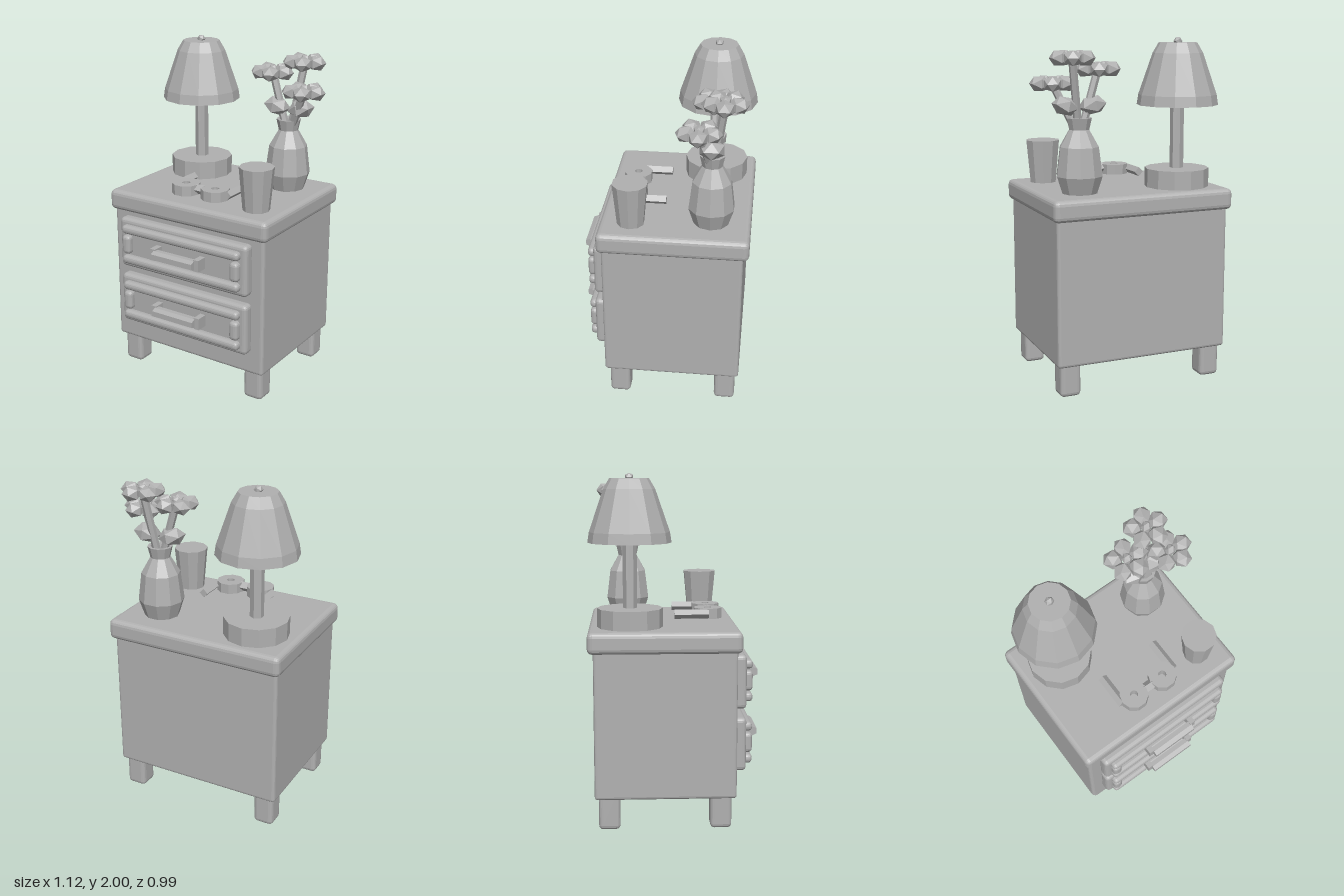
import * as THREE from 'three';
import { RoundedBoxGeometry } from 'three/addons/geometries/RoundedBoxGeometry.js';

const grey = new THREE.MeshStandardMaterial({ color: 0xb0b0b0, flatShading: true });
grey.name = 'plain grey';

function add(parent, name, geometry, x = 0, y = 0, z = 0) {
  const mesh = new THREE.Mesh(geometry, grey);
  mesh.name = name;
  mesh.position.set(x, y, z);
  parent.add(mesh);
  return mesh;
}

function group(parent, name, x = 0, y = 0, z = 0) {
  const g = new THREE.Group();
  g.name = name;
  g.position.set(x, y, z);
  parent.add(g);
  return g;
}

// Softened box given by its minimum and maximum on each axis
function block(parent, name, [x0, x1], [y0, y1], [z0, z1], r) {
  const geo = new RoundedBoxGeometry(x1 - x0, y1 - y0, z1 - z0, 2, r);
  return add(parent, name, geo, (x0 + x1) / 2, (y0 + y1) / 2, (z0 + z1) / 2);
}

// Faceted turned shape with a corner on the x axis
function turned(profile, sides) {
  const points = profile.map(([r, y]) => new THREE.Vector2(r, y));
  return new THREE.LatheGeometry(points, sides, Math.PI / 2);
}

// Straight rod between two points
function rod(parent, name, a, b, r, sides) {
  const dir = b.clone().sub(a);
  const mid = a.clone().add(b).multiplyScalar(0.5);
  const mesh = add(parent, name, new THREE.CylinderGeometry(r, r, dir.length(), sides), mid.x, mid.y, mid.z);
  mesh.quaternion.setFromUnitVectors(new THREE.Vector3(0, 1, 0), dir.normalize());
  return mesh;
}

function buildDrawer(parent, y) {
  const d = group(parent, 'drawer', -0.01, y, 0);
  block(d, 'drawerFront', [-0.447, 0.447], [-0.155, 0.155], [0.32, 0.397], 0.025);
  for (const s of [-1, 1]) {
    block(d, 'railMoulding', [-0.41, 0.41], [s * 0.095 - 0.026, s * 0.095 + 0.026], [0.375, 0.435], 0.022);
    block(d, 'sideMoulding', [s * 0.38 - 0.029, s * 0.38 + 0.029], [-0.058, 0.058], [0.375, 0.435], 0.022);
    add(d, 'handlePost', new THREE.BoxGeometry(0.035, 0.07, 0.08), s * 0.153, 0, 0.425);
  }
  // Handle bar: bevelled section swept along x
  const section = new THREE.Shape([
    [-0.44, -0.028], [-0.468, -0.028], [-0.495, -0.016],
    [-0.495, 0.016], [-0.468, 0.028], [-0.44, 0.028],
  ].map(([x, y]) => new THREE.Vector2(x, y)));
  const bar = new THREE.ExtrudeGeometry(section, { depth: 0.285, bevelEnabled: false });
  bar.translate(0, 0, -0.1425).rotateY(Math.PI / 2);
  add(d, 'handleBar', bar);
}

function buildLamp(parent) {
  const lamp = group(parent, 'lamp', -0.308, 0, -0.258);
  add(lamp, 'lampBase', turned([[0, 1.13], [0.188, 1.13], [0.188, 1.245], [0, 1.245]], 12));
  add(lamp, 'lampPole', new THREE.CylinderGeometry(0.04, 0.04, 0.72, 6), 0, 1.6, 0);
  add(lamp, 'lampShade', turned([
    [0, 1.94], [0.1, 1.94], [0.13, 1.9], [0.195, 1.675], [0.195, 1.613],
    [0.236, 1.613], [0.227, 1.672], [0.145, 1.91], [0.111, 1.968], [0, 1.968],
  ], 12));
  add(lamp, 'lampFinial', new THREE.IcosahedronGeometry(0.026, 0), 0, 1.975, 0);
}

function buildFlowers(parent) {
  const bouquet = group(parent, 'vaseWithFlowers', 0.307, 0, -0.27);
  add(bouquet, 'vase', turned([
    [0, 1.13], [0.1, 1.13], [0.134, 1.235], [0.113, 1.4], [0.058, 1.495],
    [0.073, 1.56], [0.055, 1.56], [0.045, 1.495], [0, 1.48],
  ], 10));

  // Squashed leaves beside the neck
  for (const s of [-1, 1]) {
    const leaf = add(bouquet, 'leaf', new THREE.IcosahedronGeometry(0.078, 0), s * 0.08, 1.628, 0);
    leaf.scale.set(1.05, 0.72, 1);
    leaf.rotation.z = s * 0.2;
  }

  // Five-petalled flowers on stems
  for (const [x, y, z] of [[-0.113, 1.828, 0], [0.063, 1.893, -0.064], [0.133, 1.75, 0.067]]) {
    const head = new THREE.Vector3(x, y, z);
    rod(bouquet, 'stem', new THREE.Vector3(x * 0.1, 1.48, z * 0.1), head, 0.023, 6);
    const flower = group(bouquet, 'flower', x, y, z);
    add(flower, 'flowerCentre', new THREE.IcosahedronGeometry(0.032, 0), 0, 0.012, 0);
    for (let i = 0; i < 5; i++) {
      const a = (i / 5) * Math.PI * 2;
      const petal = add(flower, 'petal', new THREE.IcosahedronGeometry(0.055, 0),
        Math.cos(a) * 0.075, 0, Math.sin(a) * 0.075);
      petal.scale.set(1.06, 0.85, 1);
      petal.rotation.y = -a;
    }
  }
}

function buildGlasses(parent) {
  const glasses = group(parent, 'eyeglasses', -0.003, 1.188, 0.2);
  const ring = turned([[0.024, -0.03], [0.084, -0.03], [0.084, 0.03], [0.024, 0.03], [0.024, -0.03]], 10);
  for (const s of [-1, 1]) {
    add(glasses, 'lens', ring, s * 0.102, 0, 0);
    rod(glasses, 'temple', new THREE.Vector3(s * 0.182, 0, 0), new THREE.Vector3(s * 0.182, 0, -0.2), 0.027, 4);
  }
  rod(glasses, 'bridge', new THREE.Vector3(-0.03, 0.004, 0), new THREE.Vector3(0.03, 0.004, 0), 0.03, 4);
}

export function createModel() {
  const model = new THREE.Group();
  model.name = 'bedsideTable';

  // Cabinet
  block(model, 'cabinetBody', [-0.535, 0.513], [0.182, 1.05], [-0.465, 0.337], 0.018);
  block(model, 'tableTop', [-0.557, 0.537], [1.015, 1.137], [-0.497, 0.363], 0.03);
  for (const x of [-0.452, 0.43]) {
    for (const z of [-0.382, 0.25]) {
      block(model, 'leg', [x - 0.061, x + 0.061], [0, 0.22], [z - 0.061, z + 0.061], 0.025);
    }
  }
  buildDrawer(model, 0.836);
  buildDrawer(model, 0.474);

  // Objects on the top
  buildLamp(model);
  buildFlowers(model);
  add(model, 'cup', turned([[0, 1.13], [0.078, 1.13], [0.102, 1.39], [0, 1.39]], 10), 0.367, 0, 0.183);
  buildGlasses(model);
  return model;
}
